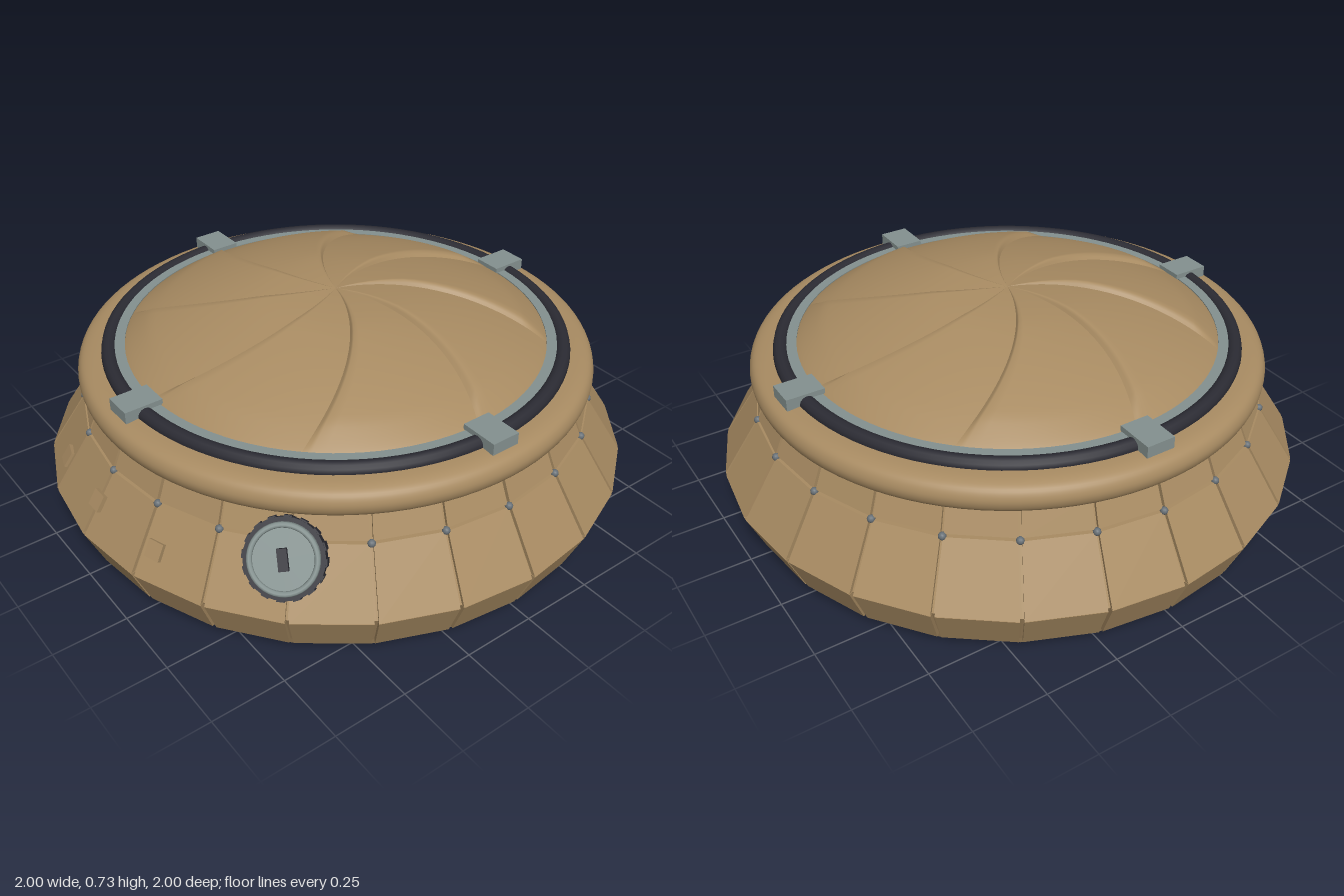
import * as THREE from 'three';
import { mergeGeometries } from 'three/addons/utils/BufferGeometryUtils.js';

const SIDES = 24;
const material = (name, color) => Object.assign(new THREE.MeshStandardMaterial({ color }), { name });

export function createModel() {
  const model = new THREE.Group();
  model.name = 'domedHatch';
  const tan = material('tanPaint', 0xa88b62);
  const grey = material('greyMetal', 0x84918f);
  const dark = material('darkRubber', 0x2b2b33);
  const steel = material('boltSteel', 0x687076);

  const add = (name, geometry, mat, parent = model) => {
    const mesh = new THREE.Mesh(geometry, mat);
    mesh.name = name;
    parent.add(mesh);
    return mesh;
  };
  const lathe = (pts, segments) =>
    new THREE.LatheGeometry(pts.map(([r, y]) => new THREE.Vector2(r, y)), segments);
  const faceted = (geometry) => {
    const flat = geometry.toNonIndexed();
    flat.computeVertexNormals();
    return flat;
  };
  // Group on the body surface: local +z points outward, tilted upward
  const mount = (name, azimuth, radius, y, tilt = 0) => {
    const group = new THREE.Group();
    group.name = name;
    group.position.set(Math.sin(azimuth) * radius, y, Math.cos(azimuth) * radius);
    group.rotation.set(-tilt, azimuth, 0, 'YXZ');
    model.add(group);
    return group;
  };

  // Inner hull seen through the panel gaps
  add('hull', faceted(lathe(
    [[0, 0], [0.91, 0], [0.922, 0.03], [0.985, 0.17], [0.855, 0.37], [0.815, 0.46], [0, 0.46]], SIDES)), tan);

  // Armour panels in three bands, with narrow gaps between neighbours
  const panel = (k, [r0, y0], [r1, y1]) => {
    const corner = (side, r, y, scale) => {
      const at = (i) => new THREE.Vector3(
        Math.sin(i * 2 * Math.PI / SIDES) * r, y, Math.cos(i * 2 * Math.PI / SIDES) * r);
      return at(k).lerp(at(k + 1), side ? 0.975 : 0.025).multiply(new THREE.Vector3(scale, 1, scale));
    };
    const pts = [1, 0.975].flatMap((s) =>
      [corner(0, r0, y0, s), corner(1, r0, y0, s), corner(1, r1, y1, s), corner(0, r1, y1, s)]);
    const g = new THREE.BufferGeometry().setFromPoints(pts);
    g.setIndex([0, 1, 2, 0, 2, 3, 1, 5, 6, 1, 6, 2, 4, 0, 3, 4, 3, 7, 3, 2, 6, 3, 6, 7, 4, 5, 1, 4, 1, 0]);
    return faceted(g);
  };
  const bands = {
    lowerPanels: [[0.94, 0.03], [1, 0.169]],
    middlePanels: [[1, 0.171], [0.873, 0.366]],
    upperPanels: [[0.868, 0.374], [0.828, 0.465]],
  };
  for (const [name, [low, high]] of Object.entries(bands)) {
    const parts = Array.from({ length: SIDES }, (_, k) => panel(k, low, high));
    add(name, mergeGeometries(parts), tan);
  }

  // Bolts on the panel seams
  const boltGeometry = new THREE.SphereGeometry(0.013, 10, 8);
  for (let k = 0; k < SIDES; k++) {
    add('bolt', boltGeometry, steel, mount('boltMount', k * 2 * Math.PI / SIDES, 0.869, 0.367));
  }

  // Rounded rim
  const rimProfile = new THREE.SplineCurve([
    [0.79, 0.456], [0.835, 0.457], [0.862, 0.472], [0.873, 0.505],
    [0.862, 0.537], [0.835, 0.553], [0.79, 0.559], [0.7, 0.56],
  ].map(([x, y]) => new THREE.Vector2(x, y)));
  add('rim', new THREE.LatheGeometry(rimProfile.getPoints(28), 96), tan);

  // Rubber seal and metal ring around the dome
  const seal = new THREE.TorusGeometry(0.765, 0.026, 12, 96).rotateX(Math.PI / 2);
  add('seal', seal, dark).position.y = 0.562;
  add('domeRing', faceted(lathe([[0.748, 0.55], [0.748, 0.578], [0.712, 0.578], [0.712, 0.55]], 96)), grey);

  // Four clips holding the seal
  for (let k = 0; k < 4; k++) {
    const clip = mount('clip', k * Math.PI / 2, 0.767, 0.576);
    add('clipBlock', new THREE.BoxGeometry(0.1, 0.04, 0.13), grey, clip);
  }

  // Dome of eight overlapping spiral blades, each raised along its leading edge
  const R = 0.715, ROWS = 28, COLS = 16;
  const blade = (b) => {
    const positions = [], index = [];
    for (let j = 0; j <= ROWS; j++) {
      const u = Math.sin((j / ROWS) * Math.PI / 2);
      const step = 0.018 * Math.min(1, u / 0.35) * Math.min(1, (1 - u) / 0.12);
      for (let i = 0; i <= COLS; i++) {
        const t = i < 3 ? i * 0.025 : 0.05 + 0.95 * (i - 2) / (COLS - 2);
        const phi = (b + t) * Math.PI / 4 + 0.5 * (1 - u);
        const lift = t < 0.05 ? t / 0.05 : (1 - t) / 0.95;
        const y = 0.572 + 0.156 * Math.pow(Math.max(0, 1 - u * u), 0.88) + step * lift;
        positions.push(u * R * Math.cos(phi), y, -u * R * Math.sin(phi));
        if (j < ROWS && i < COLS) {
          const a = j * (COLS + 1) + i, c = a + COLS + 1;
          index.push(a, c, a + 1, a + 1, c, c + 1);
        }
      }
    }
    const g = new THREE.BufferGeometry();
    g.setAttribute('position', new THREE.Float32BufferAttribute(positions, 3));
    g.setIndex(index);
    g.computeVertexNormals();
    return g;
  };
  for (let b = 0; b < 8; b++) add('domeBlade', blade(b), tan);

  // Round lock on the sloping side
  const tilt = 0.576;
  const lock = mount('lock', Math.PI / 4 - 0.02, 0.885, 0.325, tilt);
  const disc = (name, radius, from, to, mat) => {
    const g = new THREE.CylinderGeometry(radius, radius, to - from, 40).rotateX(Math.PI / 2);
    add(name, g, mat, lock).position.z = (from + to) / 2;
  };
  disc('lockBase', 0.122, -0.02, 0.04, dark);
  disc('lockFace', 0.108, 0.04, 0.052, grey);
  add('lockLip', new THREE.TorusGeometry(0.1, 0.009, 8, 40), grey, lock).position.z = 0.052;
  for (let k = 0; k < 16; k++) {
    const a = k * Math.PI / 8;
    const grip = add('lockGrip', new THREE.BoxGeometry(0.012, 0.024, 0.04), dark, lock);
    grip.position.set(Math.cos(a) * 0.12, Math.sin(a) * 0.12, 0.018);
    grip.rotation.z = a;
  }
  const slot = add('lockSlot', new THREE.BoxGeometry(0.03, 0.066, 0.02), dark, lock);
  slot.position.z = 0.058;
  slot.rotation.z = 0.2;

  // Small blocks on the front, the middle one almost flush with the seam
  for (const [azimuth, radius, y] of [[-0.314, 0.94, 0.255], [0, 0.932, 0.275], [0.314, 0.94, 0.255]]) {
    const block = mount('frontBlock', azimuth, radius, y, tilt);
    add('blockBody', new THREE.BoxGeometry(0.056, 0.056, 0.024), tan, block);
  }
  return model;
}
